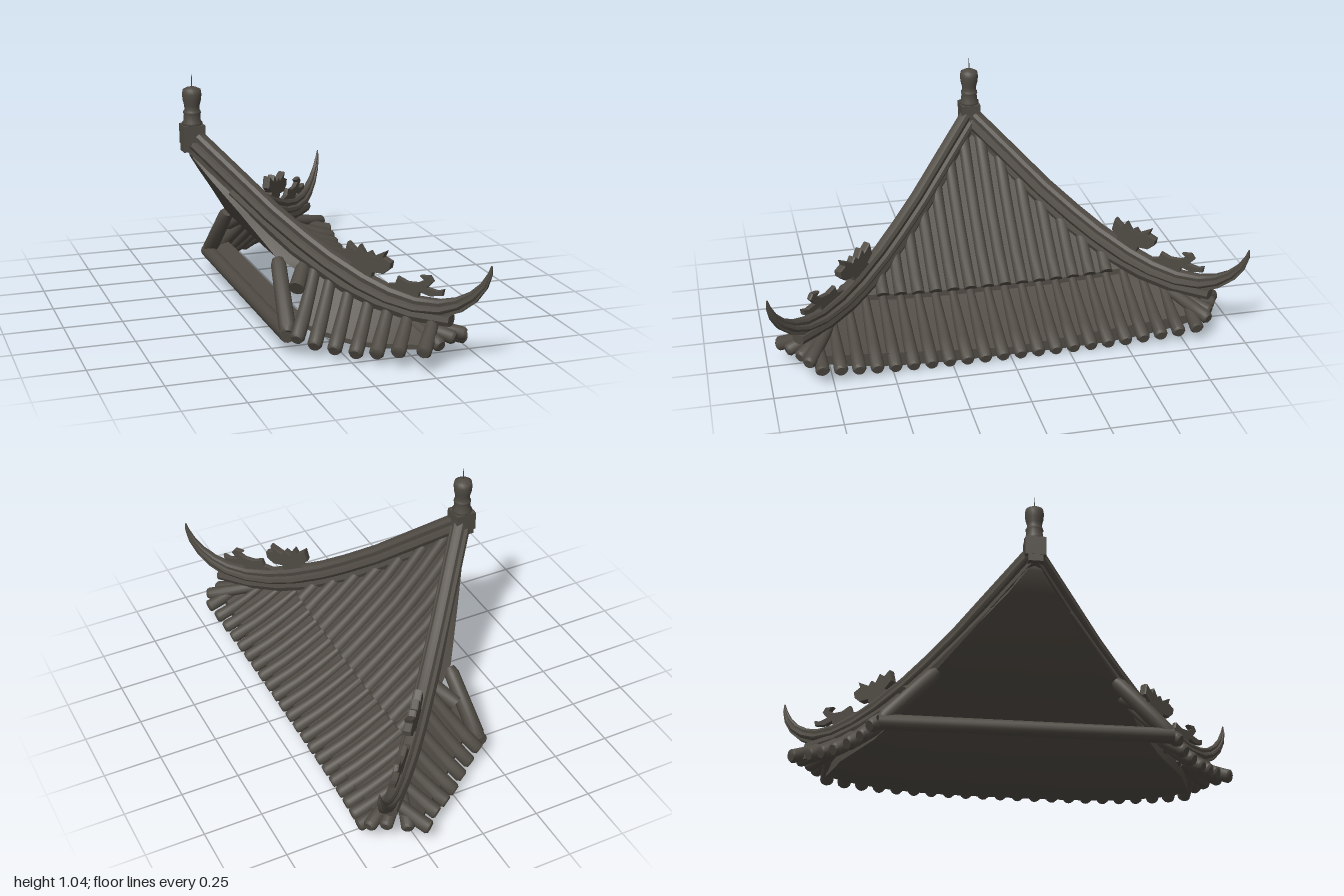
import * as THREE from 'three';
import { toCreasedNormals } from 'three/addons/utils/BufferGeometryUtils.js';

const V = (x, y, z) => new THREE.Vector3(x, y, z);
const SLOPE = 1.113; // z per x of the hip lines in plan
const APEX = -0.43;

// Piecewise-linear lookup in [[x, y], ...]
function lookup(table, x) {
  for (let i = 1; i < table.length; i++) {
    const [x0, y0] = table[i - 1], [x1, y1] = table[i];
    if (x <= x1 || i === table.length - 1) return y0 + (y1 - y0) * (x - x0) / (x1 - x0);
  }
}

// Capped skin over equal-length rings
function loft(rings, crease = 0.7) {
  const n = rings[0].length, pos = [], idx = [];
  rings.flat().forEach(p => pos.push(p.x, p.y, p.z));
  for (let i = 0; i < rings.length - 1; i++)
    for (let j = 0; j < n; j++) {
      const a = i * n + j, b = i * n + (j + 1) % n;
      idx.push(a, b, a + n, b, b + n, a + n);
    }
  [0, rings.length - 1].forEach((r, end) => {
    const c = rings[r].reduce((s, p) => s.add(p), V(0, 0, 0)).divideScalar(n);
    const ci = pos.length / 3;
    pos.push(c.x, c.y, c.z);
    for (let j = 0; j < n; j++) {
      const a = r * n + j, b = r * n + (j + 1) % n;
      end ? idx.push(ci, a, b) : idx.push(ci, b, a);
    }
  });
  const g = new THREE.BufferGeometry();
  g.setAttribute('position', new THREE.Float32BufferAttribute(pos, 3));
  g.setIndex(idx);
  return toCreasedNormals(g, crease);
}

// Sweep a (side, up) section along a path, scaled at each point
function sweep(path, section, scales) {
  return loft(path.map((p, i) => {
    const d = path[Math.min(i + 1, path.length - 1)].clone().sub(path[Math.max(i - 1, 0)]).normalize();
    const s = d.clone().cross(V(0, 1, 0)).normalize(), n = s.clone().cross(d);
    return section.map(([a, b]) => p.clone().addScaledVector(s, a * scales[i]).addScaledVector(n, b * scales[i]));
  }));
}

const circle = Array.from({ length: 12 }, (_, i) => [Math.sin(i * Math.PI / 6), Math.cos(i * Math.PI / 6)]);
const mirrored = half => [...half, ...half.slice().reverse().filter(p => p[0] > 0).map(([a, b]) => [-a, b])];

const upperLine = [[-0.43, 0.75], [-0.3, 0.59], [-0.19, 0.46], [0, 0.29], [0.115, 0.2]];
const lowerLine = [[0.08, 0.2], [0.15, 0.158], [0.25, 0.103], [0.35, 0.056], [0.43, 0.03], [0.5, 0.012]];
const lift = z => 0.06 * Math.pow(Math.abs(z) / 0.8, 3.5);

export function createModel() {
  const model = new THREE.Group();
  const clay = new THREE.MeshStandardMaterial({ color: 0x4f4a43 });
  clay.name = 'darkClay';
  const add = (name, geometry, parent = model) => {
    const m = new THREE.Mesh(geometry, clay);
    m.name = name;
    parent.add(m);
    return m;
  };

  // Roof body with a step between tile courses: x, top y, top half width, bottom y, bottom half width
  const rows = [
    [-0.44, 0.75, 0.02, 0.7, 0.03], [-0.385, 0.69, 0.06, 0.62, 0.1], [-0.3, 0.59, 0.15, 0.505, 0.22],
    [-0.19, 0.46, 0.27, 0.345, 0.37], [0, 0.29, 0.48, 0.21, 0.5], [0.11, 0.203, 0.6, 0.132, 0.6],
    [0.112, 0.178, 0.6, 0.13, 0.6], [0.25, 0.1, 0.75, 0.05, 0.74], [0.375, 0.045, 0.8, 0.01, 0.8]];
  const across = Array.from({ length: 13 }, (_, i) => i / 6 - 1);
  add('roofBody', loft(rows.map(([x, t, w, b, wb]) => [
    ...across.map(k => V(x, t + lift(k * w), k * w)),
    ...across.map(k => V(x, b + lift(k * wb), -k * wb))])));

  // Main roof tiles: long upper rolls, and lower rolls that tuck under them
  for (let i = 0; i < 22; i++) {
    const z = (i - 10.5) * 0.0757, start = Math.abs(z) / SLOPE + APEX;
    const roll = (name, line, from, to, ts, radii) => add(name, sweep(ts.map(t => {
      const x = from + (to - from) * t;
      return V(x, lookup(line, x) + lift(z), z);
    }), circle, radii));
    if (start < 0.08)
      roll('upperTile', upperLine, start, 0.114, [0, 0.25, 0.5, 0.75, 1], [0.026, 0.026, 0.026, 0.027, 0.028]);
    roll('lowerTile', lowerLine, Math.max(0.09, start), 0.425 + 0.6 * lift(z),
      [0, 0.3, 0.65, 0.96, 1], [0.017, 0.022, 0.027, 0.029, 0.022]);
  }

  // Cross-sections of the hip ridge and the rafter below it
  const ridgeSection = mirrored([[0, 0.05], [0.018, 0.046], [0.027, 0.032], [0.024, 0.014], [0.038, 0.008],
    [0.043, -0.008], [0.036, -0.022], [0.028, -0.026], [0.03, -0.045], [0, -0.05]]);
  const rafterSection = mirrored([[0, 0.03], [0.035, 0.025], [0.042, 0], [0.03, -0.025], [0, -0.03]]);
  const ridgeLine = [[-0.43, 0.775], [-0.3, 0.635], [-0.18, 0.505], [-0.08, 0.412], [0, 0.345], [0.1, 0.278], [0.18, 0.24],
    [0.26, 0.222], [0.33, 0.23], [0.38, 0.258], [0.42, 0.3], [0.448, 0.35], [0.463, 0.4], [0.467, 0.434]];
  const ridgeScale = [1, 1, 1, 1, 1, 1, 0.95, 0.85, 0.75, 0.62, 0.48, 0.34, 0.2, 0.06];
  const rafterLine = [[-0.3, 0.575], [-0.1, 0.375], [0.05, 0.262], [0.15, 0.215], [0.25, 0.188], [0.36, 0.187]];

  // Ornament outlines as [x, y] along the ridge
  const beast = [[0.03, 0.31], [0.075, 0.36], [0.052, 0.39], [0.06, 0.44], [0.085, 0.41], [0.095, 0.435], [0.11, 0.4],
    [0.125, 0.415], [0.135, 0.395], [0.172, 0.425], [0.165, 0.4], [0.188, 0.385], [0.185, 0.36], [0.165, 0.335],
    [0.135, 0.335], [0.13, 0.31], [0.15, 0.255]];
  const cloud = [[0.16, 0.24], [0.18, 0.275], [0.172, 0.292], [0.2, 0.3], [0.207, 0.33], [0.235, 0.315], [0.265, 0.318],
    [0.285, 0.335], [0.272, 0.35], [0.298, 0.355], [0.308, 0.335], [0.29, 0.305], [0.32, 0.298], [0.338, 0.308],
    [0.335, 0.285], [0.3, 0.275], [0.27, 0.285], [0.265, 0.25], [0.25, 0.23]];

  // Side tile ends: x, y, z
  const sideEnds = [[-0.19, 0.085, 0.635], [-0.13, 0.062, 0.67], [-0.065, 0.054, 0.72], [0.003, 0.05, 0.775],
    [0.07, 0.06, 0.825], [0.14, 0.076, 0.875], [0.215, 0.095, 0.95]];

  for (const side of [1, -1]) {
    const half = new THREE.Group();
    half.name = side > 0 ? 'frontHip' : 'backHip';
    model.add(half);
    const onHip = ([x, y]) => V(x, y, side * (x - APEX) * SLOPE);
    add('hipRidge', sweep(ridgeLine.map(onHip), ridgeSection, ridgeScale), half);
    add('hipRafter', sweep(rafterLine.map(onHip), rafterSection, [0.8, 1, 1, 1, 0.9, 0.75]), half);

    // Ridge ornaments
    const ornaments = new THREE.Group();
    ornaments.name = 'ridgeOrnaments';
    ornaments.position.x = APEX;
    ornaments.rotation.y = -side * Math.atan(SLOPE);
    half.add(ornaments);
    const stretch = Math.hypot(1, SLOPE);
    for (const [name, outline, depth] of [['beastHead', beast, 0.022], ['cloudCrest', cloud, 0.01]]) {
      const shape = new THREE.Shape(outline.map(([x, y]) => new THREE.Vector2((x - APEX) * stretch, y)));
      const g = new THREE.ExtrudeGeometry(shape, { depth, bevelEnabled: true, bevelThickness: 0.006, bevelSize: 0.002, bevelSegments: 1 });
      add(name, g.translate(0, 0, -depth / 2), ornaments);
    }

    // Side tiles running out from under the hip, on a thin slab
    const slab = [];
    sideEnds.forEach(([x, y, z]) => {
      const t = (z - SLOPE * (x - APEX)) / (0.8 + 0.6 * SLOPE);
      const hx = x + 0.6 * t, hz = z - 0.8 * t;
      const hy = lookup(rafterLine, hx) - 0.01;
      const p = k => V(hx + (x - hx) * k, y + (hy - y) * Math.pow(1 - k, 1.2), side * (hz + (z - hz) * k));
      add('sideTile', sweep([0, 0.35, 0.7, 0.95, 1].map(p), circle, [0.024, 0.027, 0.03, 0.03, 0.022]), half);
      const a = p(0), b = p(0.72), down = V(0, -0.02, 0);
      const ring = [a, b, b.clone().add(down), a.clone().add(down)];
      slab.push(side > 0 ? ring : ring.reverse());
    });
    add('sideSlab', loft(slab), half);

    // Corner tiles fanning around the hip end
    for (const [x, y, z] of [[0.3, 0.105, 0.925], [0.38, 0.112, 0.88], [0.44, 0.112, 0.85]]) {
      const a = V(0.24, 0.16, side * 0.74), b = V(x, y, side * z);
      const pts = [0, 0.6, 0.95, 1].map(k => a.clone().lerp(b, k));
      add('cornerTile', sweep(pts, circle, [0.024, 0.027, 0.028, 0.02]), half);
    }

    // Strut between beam and roof, with a short broken roll beside it
    add('strut', sweep([V(-0.214, 0.1, side * 0.59), V(-0.207, 0.12, side * 0.57), V(-0.184, 0.32, side * 0.39), V(-0.182, 0.34, side * 0.37)],
      circle, [0.026, 0.035, 0.032, 0.022]), half);
    add('shortRoll', sweep([V(-0.085, 0.31, side * 0.41), V(-0.145, 0.25, side * 0.5)], circle, [0.03, 0.033]), half);
  }

  // Rear beam: tilted plank with a rounded outer lip
  const plank = add('rearBeam', new THREE.BoxGeometry(0.12, 0.028, 1.18));
  plank.position.set(-0.178, 0.108, 0);
  plank.rotation.z = 0.5;
  add('rearBeamLip', sweep([V(-0.214, 0.096, -0.6), V(-0.214, 0.096, 0.6)], circle, [0.032, 0.032]));

  // Apex block and turned finial
  add('apexBlock', new THREE.BoxGeometry(0.09, 0.082, 0.085)).position.set(-0.433, 0.796, 0);
  add('apexFoot', new THREE.BoxGeometry(0.04, 0.05, 0.06)).position.set(-0.457, 0.75, 0);
  const profile = [[0, 0.83], [0.041, 0.832], [0.043, 0.846], [0.036, 0.852], [0.034, 0.88], [0.037, 0.886], [0.036, 0.893],
    [0.031, 0.9], [0.032, 0.918], [0.038, 0.94], [0.04, 0.965], [0.037, 0.984], [0.02, 0.993], [0, 0.997]];
  add('finial', new THREE.LatheGeometry(profile.map(([r, y]) => new THREE.Vector2(r, y)), 20)).position.x = -0.433;
  add('finialSpike', new THREE.CylinderGeometry(0.0015, 0.0025, 0.06, 6)).position.set(-0.433, 1.015, 0);

  return model;
}
